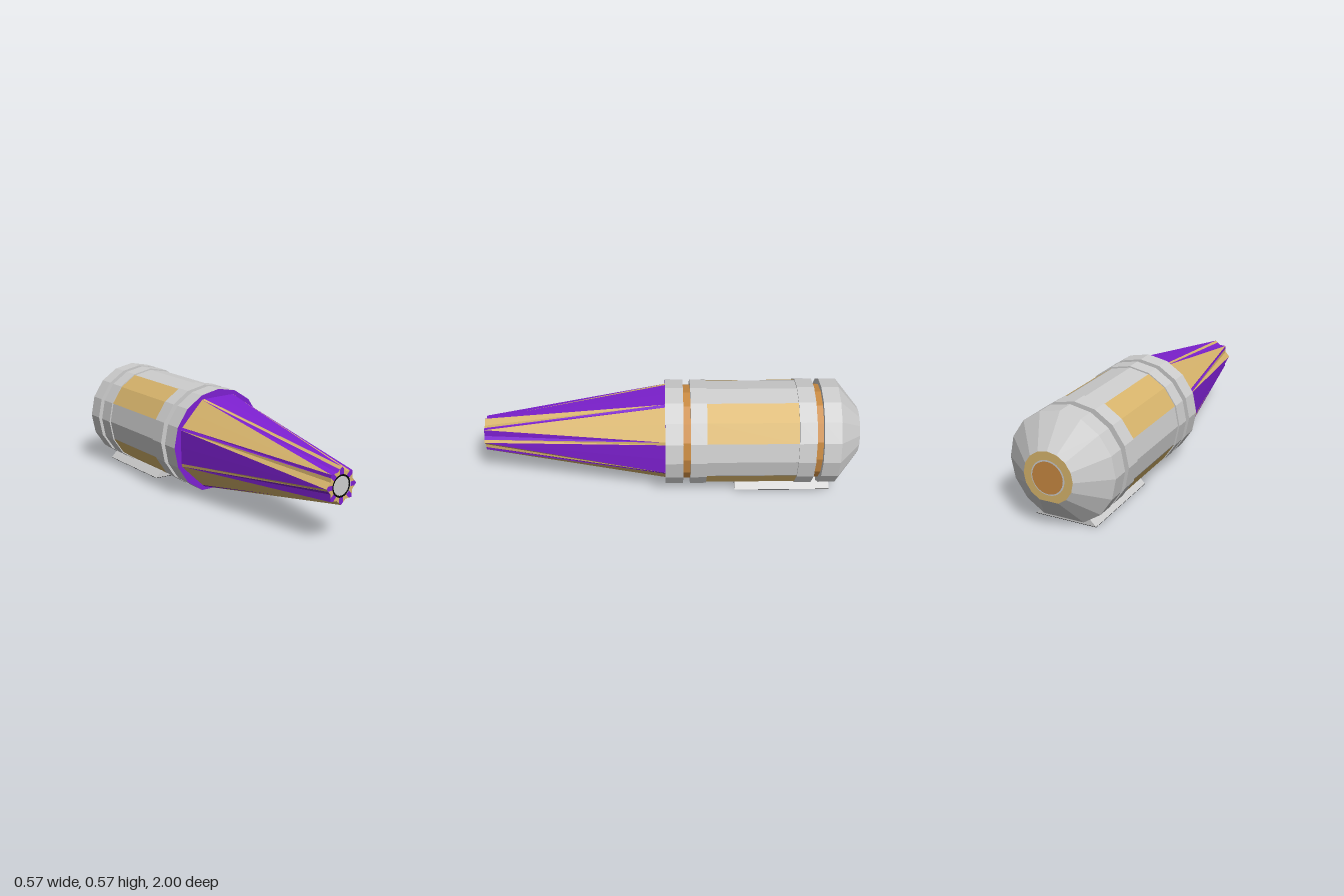
import * as THREE from 'three';

const mat = (name, color, side = THREE.FrontSide) =>
  Object.assign(new THREE.MeshStandardMaterial({ color, flatShading: true, side }), { name });

export function createModel() {
  const grey = mat('light grey', 0xcdcdcd);
  const purple = mat('purple', 0x7d20d0);
  const tan = mat('tan', 0xd8b56c);
  const orange = mat('orange', 0xc98a42);
  const black = mat('black', 0x050505);
  const group = new THREE.Group();
  const AXIS = 0.283, STEP = Math.PI / 8;

  const add = (name, geo, material, y = AXIS, z = 0) => {
    const mesh = new THREE.Mesh(geo, material);
    mesh.name = name;
    mesh.position.set(0, y, z);
    group.add(mesh);
    return mesh;
  };

  // Sixteen-sided section along z, with its lowest corner cut flat
  const section = (name, zBack, zFront, rBack, rFront, material) => {
    const h = zFront - zBack;
    const geo = new THREE.CylinderGeometry(rFront, rBack, h, 16).rotateX(Math.PI / 2);
    const p = geo.attributes.position;
    for (let i = 0; i < p.count; i++) {
      const r = p.getZ(i) > 0 ? rFront : rBack;
      p.setY(i, Math.max(p.getY(i), -r * Math.cos(STEP)));
    }
    return add(name, geo, material, AXIS, (zBack + zFront) / 2);
  };

  // Body, collars and recessed bands
  section('frontCollar', -0.057, 0.037, 0.283, 0.283, [grey, purple, grey]);
  section('frontBand', -0.095, -0.057, 0.254, 0.254, orange);
  section('bodyFrontCollar', -0.18, -0.095, 0.283, 0.283, grey);
  section('body', -0.655, -0.18, 0.275, 0.275, grey);
  section('bodyRearCollar', -0.745, -0.655, 0.283, 0.283, grey);
  section('rearBand', -0.783, -0.745, 0.254, 0.254, orange);
  section('rearCollar', -0.873, -0.783, 0.283, 0.283, grey);
  section('tailCone', -0.995, -0.873, 0.13, 0.283, [grey, grey, tan]);

  // Four side panels, each over two faces of the body
  for (let i = 0; i < 4; i++) {
    const geo = new THREE.CylinderGeometry(0.2775, 0.2775, 0.475, 2, 1, true,
      STEP + i * Math.PI / 2, 2 * STEP).rotateX(Math.PI / 2);
    add('sidePanel', geo, tan, AXIS, -0.4175);
  }

  // Tail port
  const disc = (name, r, z, material, back) => {
    const geo = new THREE.CircleGeometry(r, 32);
    if (back) geo.rotateY(Math.PI);
    add(name, geo, material, AXIS, z);
  };
  disc('tailPortRim', 0.088, -0.9975, grey, true);
  disc('tailPort', 0.081, -1, orange, true);

  // Pleated nose: triangles gathered by colour
  const soup = { purple: [], tan: [] };
  const tri = (c, ...pts) => pts.forEach(p => soup[c].push(...p.toArray()));
  const polar = (r, a, z) => new THREE.Vector3(r * Math.cos(a), r * Math.sin(a), z);
  const zB = 0.037, zE = 1, crest = 0.03;
  const tip = k => polar(0.092, k * 2 * STEP, zE);
  const valley = k => polar(0.073, (k * 2 + 1) * STEP, zE);
  const ribA = k => polar(0.256, (k * 2 + 1) * STEP - crest, zB);
  const ribB = k => polar(0.26, (k * 2 + 1) * STEP + crest, zB);
  const inner = a => polar(0.056, a, zE);

  for (let k = 0; k < 8; k++) {
    const own = k % 2 ? 'tan' : 'purple', next = k % 2 ? 'purple' : 'tan';
    const A = tip(k), A2 = tip(k + 1), M = valley(k);
    const P = A.clone().lerp(M, 0.45), Q = A2.clone().lerp(M, 0.45);
    const mid = polar(0.242, k * 2 * STEP, zB);
    // broad panel
    tri(own, ribB(k - 1), mid, A);
    tri(own, mid, ribA(k), A);
    // narrow crest and wide flank of the rib
    tri(next, ribA(k), ribB(k), P);
    tri(next, ribA(k), P, A);
    tri(own, ribB(k), M, P);
    tri(own, ribB(k), A2, M);
    // chequered end ring
    const a = k * 2 * STEP, h = STEP / 2;
    const I = [0, 1, 2, 3, 4].map(j => inner(a + j * h));
    const O = [A, P, M, Q, A2];
    ['purple', 'tan', 'tan', 'purple'].forEach((c, j) => {
      tri(c, I[j], O[j], O[j + 1]);
      tri(c, I[j], O[j + 1], I[j + 1]);
    });
  }
  for (const [c, material] of [['purple', purple], ['tan', tan]]) {
    const geo = new THREE.BufferGeometry();
    geo.setAttribute('position', new THREE.Float32BufferAttribute(soup[c], 3));
    geo.computeVertexNormals();
    add(c + 'NosePleats', geo, material);
  }

  // Nose opening
  disc('noseOpening', 0.058, 0.996, black);
  disc('noseLens', 0.047, 0.998, grey);

  // Flared foot with a dark underside
  const shape = new THREE.Shape();
  shape.moveTo(-0.165, 0.002);
  shape.lineTo(0.165, 0.002);
  shape.lineTo(0.118, 0.047);
  shape.lineTo(-0.118, 0.047);
  add('foot', new THREE.ExtrudeGeometry(shape, { depth: 0.515, bevelEnabled: false }), grey, 0, -0.855);
  add('footSole', new THREE.BoxGeometry(0.33, 0.002, 0.515), black, 0.001, -0.5975);

  return group;
}
